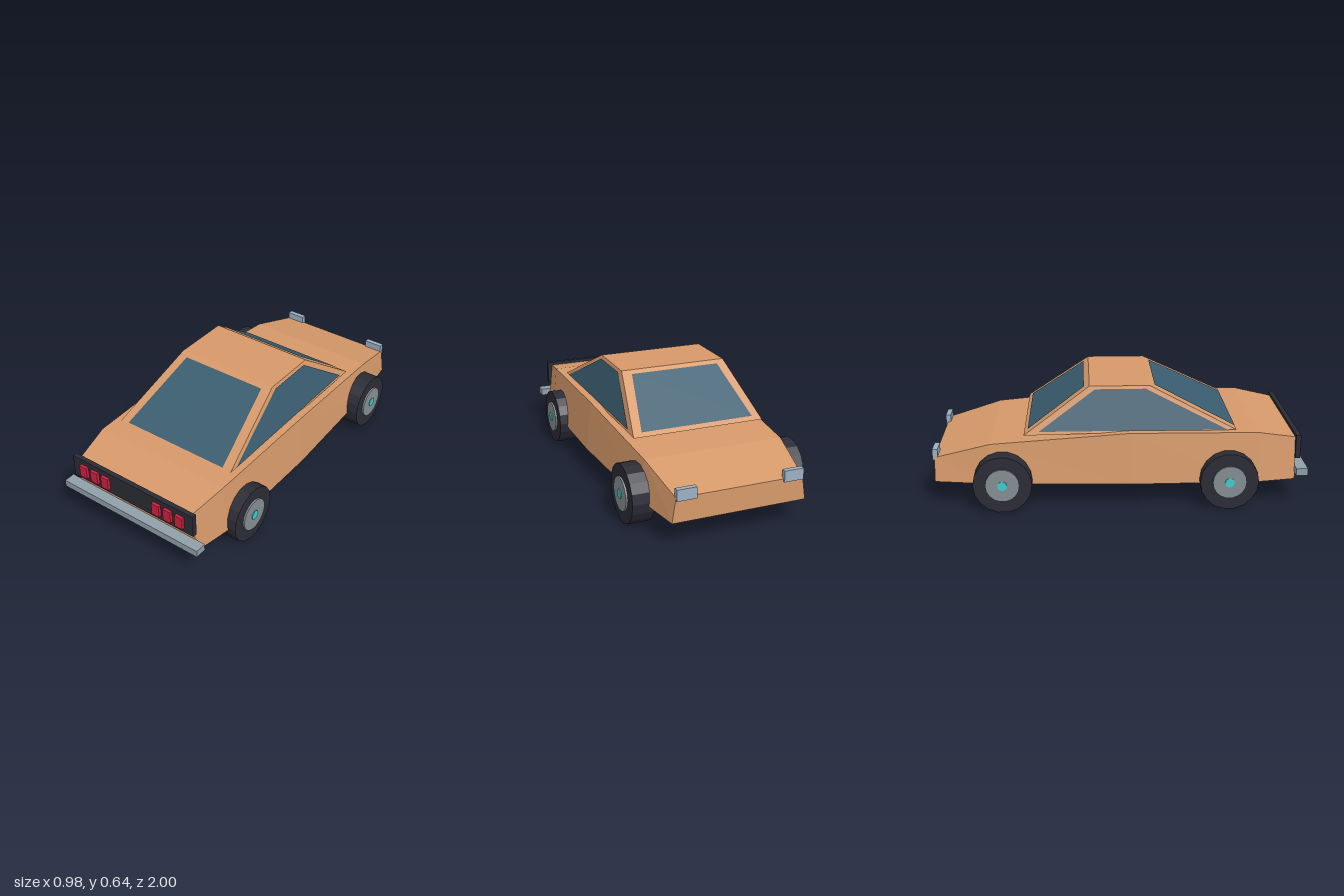
import * as THREE from 'three';

const paint = (name, color) => {
  const m = new THREE.MeshStandardMaterial({ color });
  m.name = name;
  return m;
};

export function createModel() {
  const car = new THREE.Group();
  car.name = 'car';

  const bodyPaint = paint('tan paint', 0xd6996a);
  const glass = paint('tinted glass', 0x3a5d70);
  glass.side = THREE.DoubleSide;
  const black = paint('black rubber', 0x2b2b35);
  const red = paint('red lamp', 0xd02040);
  const chrome = paint('chrome', 0x8f9fa9);
  const lampGlass = paint('headlamp', 0x9cb0c2);
  const rim = paint('wheel rim', 0x868e93);
  const cyan = paint('cyan hub', 0x40cccc);
  rim.flatShading = black.flatShading = cyan.flatShading = true;

  const add = (name, geometry, material, x = 0, y = 0, z = 0, parent = car) => {
    const mesh = new THREE.Mesh(geometry, material);
    mesh.name = name;
    mesh.position.set(x, y, z);
    parent.add(mesh);
    return mesh;
  };

  // Box given by its limits on each axis
  const box = (name, material, [x0, x1], [y0, y1], [z0, z1]) =>
    add(name, new THREE.BoxGeometry(x1 - x0, y1 - y0, z1 - z0), material,
      (x0 + x1) / 2, (y0 + y1) / 2, (z0 + z1) / 2);

  // Flat-faced geometry from four-cornered faces
  const facets = (quads) => {
    const pos = [];
    const ab = new THREE.Vector3(), ac = new THREE.Vector3();
    const tri = (a, b, c) => {
      ab.set(b[0] - a[0], b[1] - a[1], b[2] - a[2]);
      ac.set(c[0] - a[0], c[1] - a[1], c[2] - a[2]);
      if (ab.cross(ac).length() > 1e-8) pos.push(...a, ...b, ...c);
    };
    for (const [a, b, c, d] of quads) {
      tri(a, b, c);
      tri(a, c, d);
    }
    const g = new THREE.BufferGeometry();
    g.setAttribute('position', new THREE.Float32BufferAttribute(pos, 3));
    g.computeVertexNormals();
    return g;
  };

  // Loft of trapezoid sections: [z, bottom y, top y, bottom half width, top half width]
  const loft = (sections) => {
    const rings = sections.map(([z, y0, y1, b, t]) =>
      [[-b, y0, z], [b, y0, z], [t, y1, z], [-t, y1, z]]);
    const quads = [[...rings[0]].reverse(), rings[rings.length - 1]];
    for (let i = 0; i < rings.length - 1; i++) {
      for (let j = 0; j < 4; j++) {
        const k = (j + 1) % 4;
        quads.push([rings[i][j], rings[i][k], rings[i + 1][k], rings[i + 1][j]]);
      }
    }
    return facets(quads);
  };

  // Lower body and cabin
  add('body', loft([
    [-0.99, 0.135, 0.265, 0.36, 0.34],
    [-0.69, 0.135, 0.35, 0.405, 0.38],
    [0.05, 0.135, 0.412, 0.438, 0.41],
    [0.73, 0.135, 0.405, 0.432, 0.402],
    [0.94, 0.135, 0.365, 0.395, 0.368],
  ]), bodyPaint);
  add('cabin', loft([
    [-0.51, 0.392, 0.392, 0.366, 0.366],
    [-0.16, 0.398, 0.64, 0.366, 0.298],
    [0.16, 0.403, 0.64, 0.366, 0.298],
    [0.62, 0.41, 0.41, 0.366, 0.366],
  ]), bodyPaint);

  // Windows, laid just proud of the cabin faces
  const endWindow = (name, zLow, yLow, zHigh, yHigh) => add(name, facets([[
    [-0.315, yLow, zLow], [0.315, yLow, zLow], [0.25, yHigh, zHigh], [-0.25, yHigh, zHigh],
  ]]), glass);
  endWindow('rearWindow', 0.618, 0.416, 0.19, 0.63);
  endWindow('windscreen', -0.49, 0.411, -0.188, 0.625);
  for (const s of [1, -1]) {
    const onSide = (z, y) => [s * (0.371 - 0.068 * (y - 0.4) / 0.24), y, z];
    const outline = [onSide(0.57, 0.412), onSide(-0.43, 0.412), onSide(-0.13, 0.625), onSide(0.14, 0.625)];
    add(s > 0 ? 'leftSideWindow' : 'rightSideWindow',
      facets([s > 0 ? outline : outline.reverse()]), glass);
  }

  // Lamp panel, bumper and lamps
  box('lampPanel', black, [-0.395, 0.395], [0.253, 0.382], [0.938, 0.964]);
  box('bumper', chrome, [-0.443, 0.443], [0.172, 0.211], [0.938, 1]);
  for (const s of [1, -1]) {
    for (const x of [0.169, 0.242, 0.316]) {
      box('redLamp', red, [s * x - 0.024, s * x + 0.024], [0.282, 0.352], [0.96, 0.98]);
    }
    box('headlamp', lampGlass, [s * 0.287 - 0.053, s * 0.287 + 0.053], [0.25, 0.31], [-1, -0.972]);
  }

  // Wheels: tyre, rim disc and coloured hub along x
  const disc = (r, width, sides) => new THREE.CylinderGeometry(r, r, width, sides).rotateZ(Math.PI / 2);
  for (const s of [1, -1]) {
    for (const z of [0.577, -0.623]) {
      const wheel = new THREE.Group();
      wheel.name = (z < 0 ? 'front' : 'rear') + (s > 0 ? 'Left' : 'Right') + 'Wheel';
      wheel.position.set(s * 0.419, 0.156, z);
      add('tyre', disc(0.156, 0.117, 18), black, 0, 0, 0, wheel);
      add('rim', disc(0.09, 0.03, 18), rim, s * 0.053, 0, 0, wheel);
      add('hub', disc(0.026, 0.03, 10), cyan, s * 0.058, 0, 0, wheel);
      car.add(wheel);
    }
  }
  return car;
}
